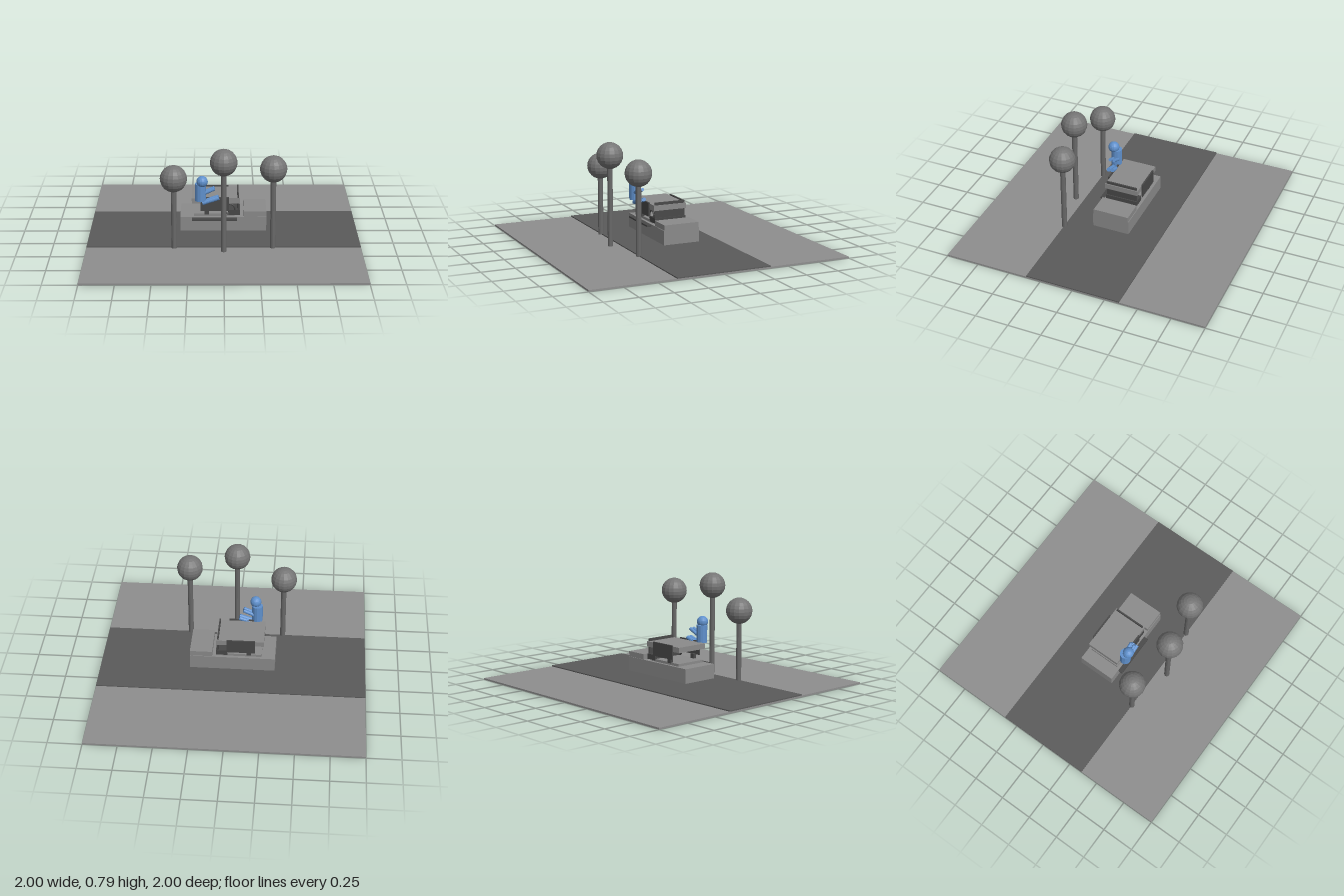
import * as THREE from 'three';

const mat = (name, color) => {
  const m = new THREE.MeshStandardMaterial({ color, flatShading: true });
  m.name = name;
  return m;
};

export function createModel() {
  const root = new THREE.Group();
  root.name = 'streetScene';
  const paving = mat('pavingGrey', 0x8e8e8e);
  const asphalt = mat('asphaltGrey', 0x5a5a5a);
  const body = mat('bodyGrey', 0x8a8a8a);
  const dark = mat('darkTrim', 0x484848);
  const foliage = mat('foliageGrey', 0x757575);
  const bark = mat('trunkGrey', 0x686868);
  const blue = mat('figureBlue', 0x5f90cc);

  const add = (name, geo, material, parent = root) => {
    const m = new THREE.Mesh(geo, material);
    m.name = name;
    parent.add(m);
    return m;
  };
  // Box given by its extents on each axis
  const box = (name, material, [x0, x1], [y0, y1], [z0, z1], parent) => {
    const m = add(name, new THREE.BoxGeometry(x1 - x0, y1 - y0, z1 - z0), material, parent);
    m.position.set((x0 + x1) / 2, (y0 + y1) / 2, (z0 + z1) / 2);
    return m;
  };
  // Cylinder between two points
  const rod = (name, material, a, b, r, parent) => {
    const p = new THREE.Vector3(...a), q = new THREE.Vector3(...b);
    const m = add(name, new THREE.CylinderGeometry(r, r, p.distanceTo(q), 12), material, parent);
    m.position.copy(p).lerp(q, 0.5);
    m.quaternion.setFromUnitVectors(new THREE.Vector3(0, 1, 0), q.sub(p).normalize());
    return m;
  };
  const group = (name) => {
    const g = new THREE.Group();
    g.name = name;
    root.add(g);
    return g;
  };

  // Ground and road
  box('ground', paving, [-1, 1], [0, 0.012], [-1, 1]);
  box('road', asphalt, [-1, 1], [0.01, 0.02], [-0.36, 0.36]);

  // Round trees along the kerb
  for (const [x, y, z] of [[-0.36, 0.545, 0.36], [0, 0.69, 0.43], [0.357, 0.618, 0.36]]) {
    const tree = group('tree');
    rod('trunk', bark, [x, 0.01, z], [x, y - 0.08, z], 0.02, tree);
    add('crown', new THREE.SphereGeometry(0.098, 16, 12), foliage, tree).position.set(x, y, z);
  }

  // Open car, nose towards +x
  const car = group('car');
  box('lowerBody', body, [-0.32, 0.317], [0.058, 0.166], [-0.142, 0.142], car);
  box('hood', body, [0.15, 0.317], [0.16, 0.206], [-0.137, 0.137], car);
  box('floor', body, [-0.22, 0.08], [0.16, 0.185], [-0.12, 0.12], car);
  box('roof', body, [-0.235, 0.12], [0.27, 0.31], [-0.13, 0.13], car);
  box('windshield', dark, [0.102, 0.113], [0.2, 0.33], [-0.12, 0.12], car);
  box('dashboard', dark, [0.035, 0.122], [0.175, 0.215], [-0.125, 0.125], car);
  for (const s of [-1, 1]) {
    box('sidePanel', dark, [-0.17, 0.04], [0.213, 0.318], [s * 0.135 - 0.006, s * 0.135 + 0.006], car);
    box('panelPost', dark, [-0.14, -0.108], [0.18, 0.22], [s * 0.115 - 0.012, s * 0.115 + 0.012], car);
  }
  const wheel = add('steeringWheel', new THREE.TorusGeometry(0.04, 0.007, 8, 20), dark, car);
  wheel.position.set(0.045, 0.22, 0.115);
  box('runningBoard', dark, [-0.235, 0.1], [0.15, 0.162], [0.14, 0.178], car);

  // Seated figure at the side of the car
  const figure = group('figure');
  rod('torso', blue, [-0.17, 0.305, 0.16], [-0.17, 0.436, 0.16], 0.041, figure);
  add('head', new THREE.SphereGeometry(0.042, 16, 12), blue, figure).position.set(-0.157, 0.458, 0.178);
  for (const z of [0.14, 0.17]) {
    rod('arm', blue, [-0.15, 0.36, z], [-0.067, 0.398, z], 0.013, figure);
    rod('leg', blue, [-0.155, 0.287, z], [-0.036, 0.327, z], 0.016, figure);
  }
  return root;
}
